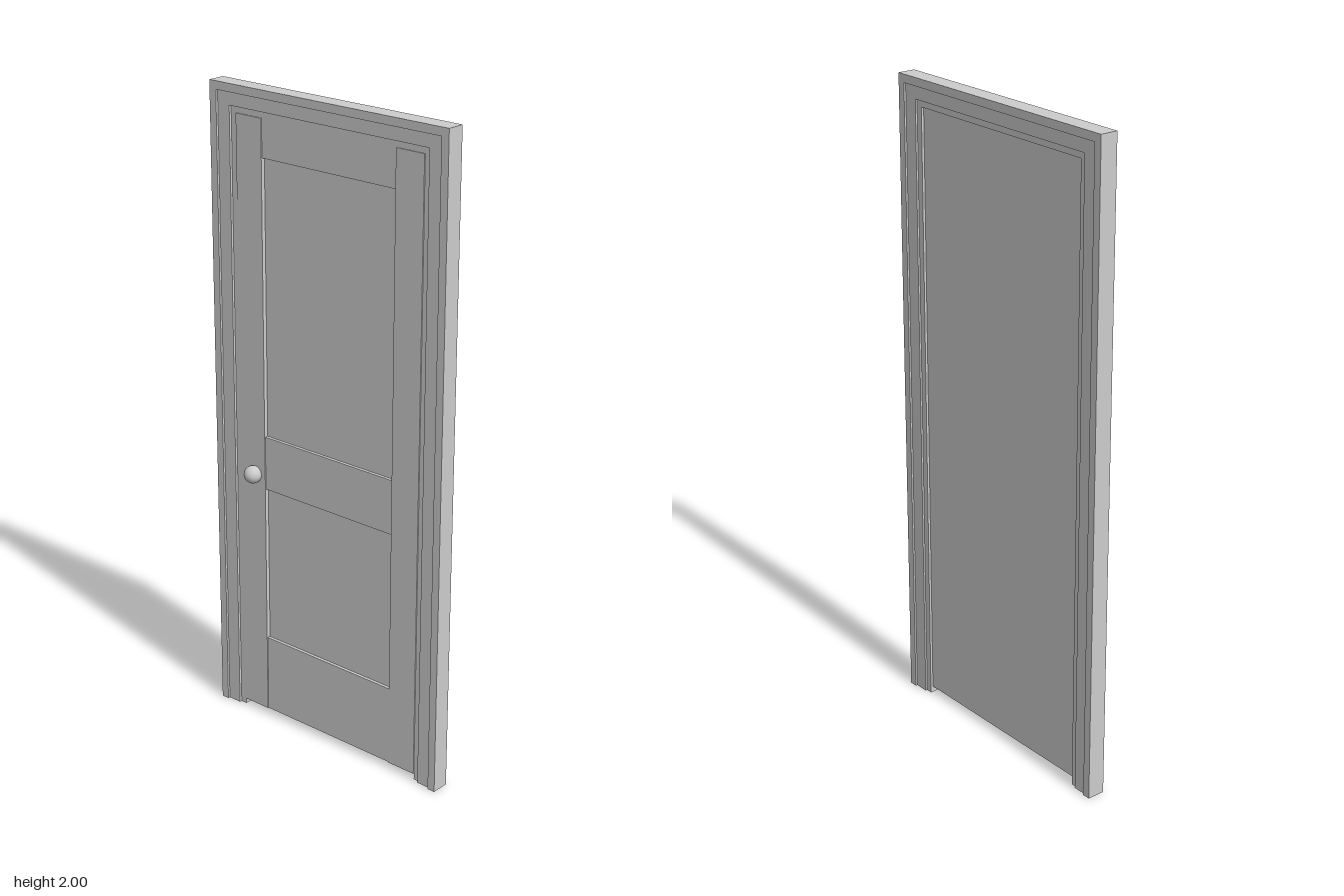
import * as THREE from 'three';

const material = new THREE.MeshStandardMaterial({ color: 0xcccccc });

function add(parent, name, geometry) {
  const mesh = new THREE.Mesh(geometry, material);
  mesh.name = name;
  parent.add(mesh);
  return mesh;
}

// Box given by its limits on each axis
function slab(parent, name, x0, x1, y0, y1, z0, z1) {
  add(parent, name, new THREE.BoxGeometry(x1 - x0, y1 - y0, z1 - z0))
    .position.set((x0 + x1) / 2, (y0 + y1) / 2, (z0 + z1) / 2);
}

// Upside-down U: two jambs and a head in one piece, open at the floor
function frameBand(parent, name, outerX, outerY, innerX, innerY, zBack, zFront) {
  const shape = new THREE.Shape([
    [-outerX, 0], [-innerX, 0], [-innerX, innerY], [innerX, innerY],
    [innerX, 0], [outerX, 0], [outerX, outerY], [-outerX, outerY],
  ].map(([x, y]) => new THREE.Vector2(x, y)));
  const geometry = new THREE.ExtrudeGeometry(shape, { depth: zFront - zBack, bevelEnabled: false });
  geometry.translate(0, 0, zBack);
  add(parent, name, geometry);
}

export function createModel() {
  const model = new THREE.Group();
  model.name = 'panelledDoor';

  // Frame stepping inward towards the door on both faces
  const frame = new THREE.Group();
  frame.name = 'doorFrame';
  frameBand(frame, 'outerRim', 0.435, 2, 0.41, 1.975, -0.043, 0.013);
  frameBand(frame, 'casing', 0.41, 1.975, 0.365, 1.935, -0.037, 0.006);
  frameBand(frame, 'innerCasing', 0.365, 1.935, 0.345, 1.915, -0.031, -0.002);
  model.add(frame);

  // Door leaf: flat back slab, raised stiles and rails around two sunken panels
  const door = new THREE.Group();
  door.name = 'door';
  const w = 0.345, panelX = 0.247, bottom = 0.02, top = 1.915;
  slab(door, 'panelSlab', -w, w, bottom, top, -0.023, -0.012);
  slab(door, 'rightStile', -w, -panelX, bottom, top, -0.012, 0.001);
  slab(door, 'leftStile', panelX, w, bottom, top, -0.012, 0.001);
  const rails = [['bottomRail', bottom, 0.27], ['lockRail', 0.775, 0.945], ['topRail', 1.8, top]];
  for (const [name, y0, y1] of rails) slab(door, name, -panelX, panelX, y0, y1, -0.012, -0.002);

  // Round knob, partly sunk into the stile
  add(door, 'knob', new THREE.SphereGeometry(0.0275, 32, 20)).position.set(-0.287, 0.817, 0.013);
  model.add(door);

  return model;
}
